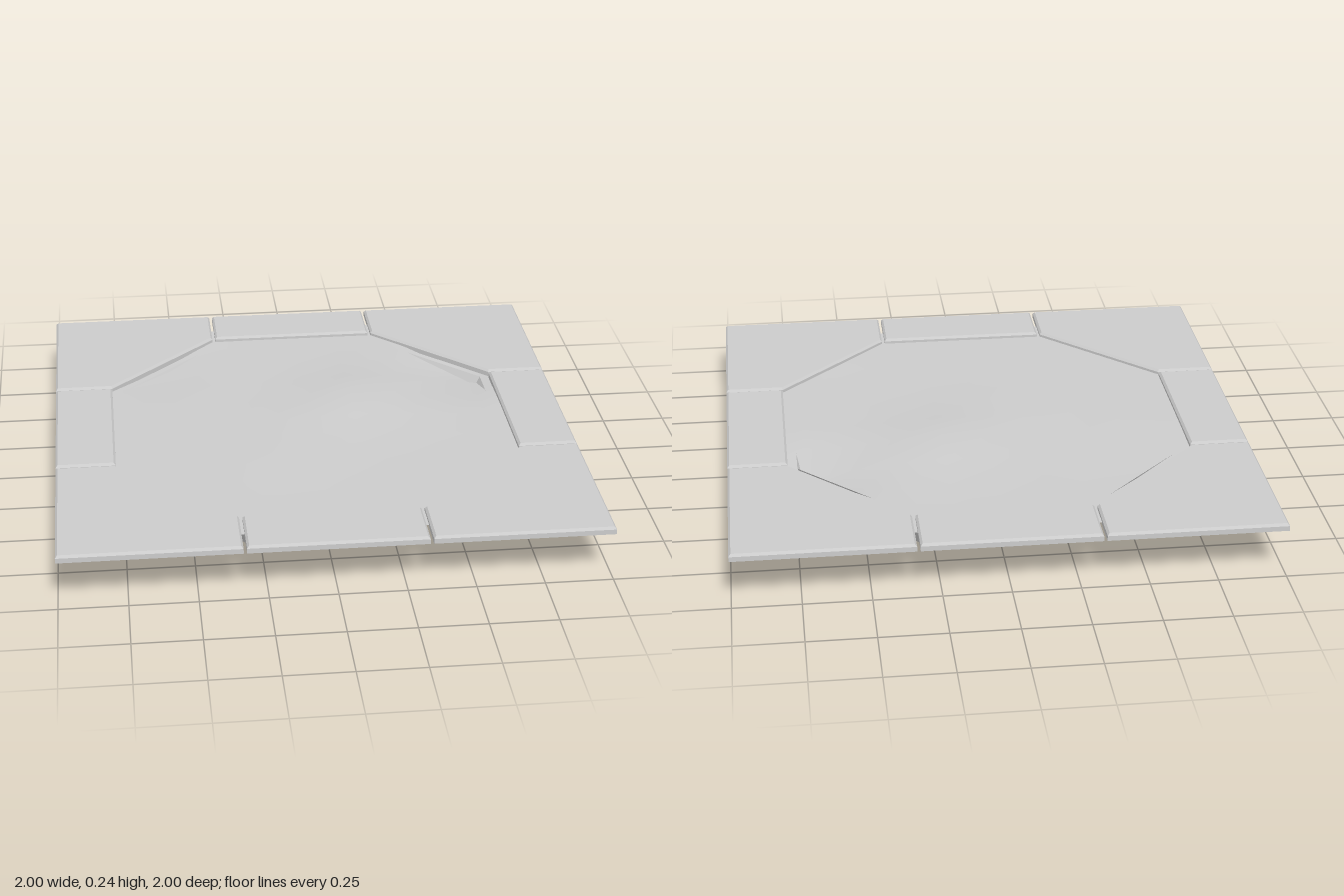
import * as THREE from 'three';
import { ConvexGeometry } from 'three/addons/geometries/ConvexGeometry.js';

const SLAB_BOTTOM = 0.188, SLAB_EDGE = 0.207, SLAB_TOP = 0.216;

// Moves every edge of a convex outline [x, z] inwards by d.
function inset(points, d) {
  const n = points.length;
  const c = points.reduce((s, p) => [s[0] + p[0] / n, s[1] + p[1] / n], [0, 0]);
  const lines = points.map((p, i) => {
    const q = points[(i + 1) % n];
    const len = Math.hypot(q[0] - p[0], q[1] - p[1]);
    let a = -(q[1] - p[1]) / len, b = (q[0] - p[0]) / len;
    if (a * (c[0] - p[0]) + b * (c[1] - p[1]) < 0) { a = -a; b = -b; }
    return [a, b, a * p[0] + b * p[1] + d];
  });
  return lines.map(([a, b, e], i) => {
    const [f, g, h] = lines[(i + n - 1) % n];
    const det = a * g - b * f;
    return [(e * g - b * h) / det, (a * h - e * f) / det];
  });
}

// Paving slab with a chamfered top edge.
function slabGeometry(outline) {
  const ring = (pts, y) => pts.map(([x, z]) => new THREE.Vector3(x, y, z));
  return new ConvexGeometry([
    ...ring(outline, SLAB_BOTTOM),
    ...ring(outline, SLAB_EDGE),
    ...ring(inset(outline, 0.008), SLAB_TOP),
  ]);
}

// Octagon with flat sides at distance a and corners at c along each side.
const octagon = (a, c, y) =>
  [[c, a], [a, c], [a, -c], [c, -a], [-c, -a], [-a, -c], [-a, c], [-c, a]]
    .map(([x, z]) => new THREE.Vector3(x, y, z));

// Open-topped octagonal tub with sloping walls.
function basinGeometry() {
  const low = octagon(0.625, 0.28, 0), high = octagon(0.737, 0.33, 0.192);
  const base = new THREE.Vector3(0, 0, 0);
  const tris = [];
  for (let i = 0; i < 8; i++) {
    const j = (i + 1) % 8;
    tris.push(low[i], low[j], high[j], low[i], high[j], high[i], base, low[j], low[i]);
  }
  const geometry = new THREE.BufferGeometry().setFromPoints(tris);
  geometry.computeVertexNormals();
  return geometry;
}

// Uneven ground: a coarse grid with a hump and hollows [x, z, height, radius].
function groundGeometry() {
  const bumps = [
    [0.176, -0.176, 0.038, 0.2],
    [0.7, -0.44, -0.05, 0.17],
    [-0.57, -0.52, -0.016, 0.2],
    [-0.1, 0.2, 0.008, 0.25],
    [0.5, 0.3, -0.005, 0.25],
  ];
  const geometry = new THREE.PlaneGeometry(1.76, 1.76, 10, 10).rotateX(-Math.PI / 2);
  const pos = geometry.attributes.position;
  for (let i = 0; i < pos.count; i++) {
    let y = 0.197;
    for (const [x, z, h, r] of bumps) {
      const d = Math.hypot(pos.getX(i) - x, pos.getZ(i) - z) / r;
      y += h * Math.exp(-d * d);
    }
    pos.setY(i, y);
  }
  geometry.computeVertexNormals();
  return geometry;
}

export function createModel() {
  const group = new THREE.Group();
  const solid = new THREE.MeshStandardMaterial({ color: 0xcccccc });
  const open = new THREE.MeshStandardMaterial({ color: 0xcccccc, side: THREE.DoubleSide });
  const add = (name, geometry, material) => {
    const mesh = new THREE.Mesh(geometry, material);
    mesh.name = name;
    group.add(mesh);
    return mesh;
  };

  // Frame: one side slab and one corner slab, repeated four times.
  const side = slabGeometry([[-0.327, 0.773], [0.327, 0.773], [0.327, 1], [-0.327, 1]]);
  const corner = slabGeometry([[0.339, 1], [0.339, 0.773], [0.773, 0.339], [1, 0.339], [1, 1]]);
  for (let i = 0; i < 4; i++) {
    add('sideSlab' + i, side, solid).rotation.y = i * Math.PI / 2;
    add('cornerSlab' + i, corner, solid).rotation.y = i * Math.PI / 2;
  }

  add('basin', basinGeometry(), open);
  add('ground', groundGeometry(), open);
  return group;
}
